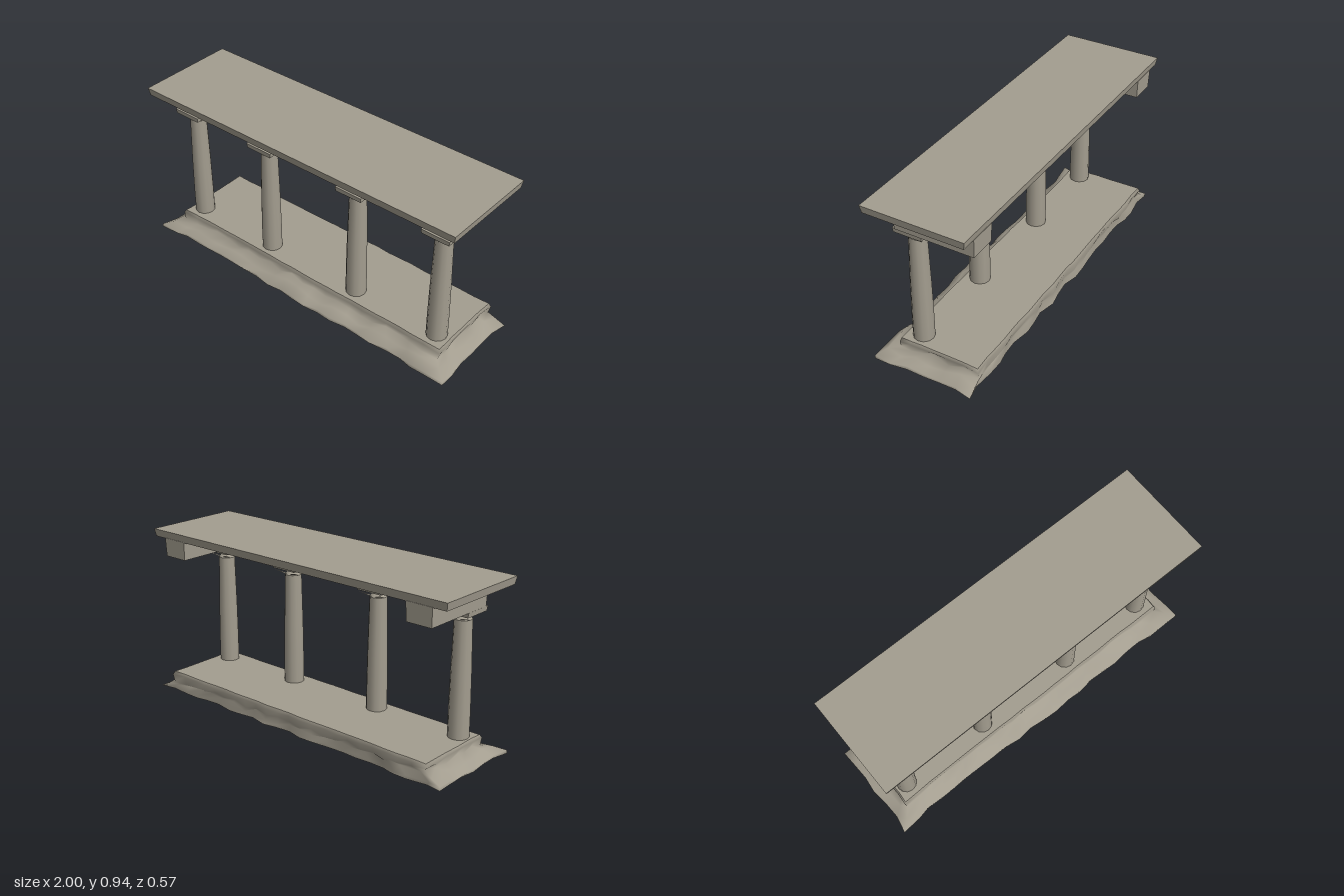
import * as THREE from 'three';

const stone = new THREE.MeshStandardMaterial({ color: 0xa39d8f });
const stoneThin = stone.clone();
stoneThin.side = THREE.DoubleSide;

function geometryFrom(positions, index) {
  const g = new THREE.BufferGeometry();
  g.setAttribute('position', new THREE.Float32BufferAttribute(positions, 3));
  if (index) g.setIndex(index);
  g.computeVertexNormals();
  return g;
}

function add(parent, name, geometry, material = stone) {
  const mesh = new THREE.Mesh(geometry, material);
  mesh.name = name;
  parent.add(mesh);
  return mesh;
}

// Box between two corners whose underside is drawn in by a small taper
function taperedBox(x0, x1, y0, y1, z0, z1, taper) {
  const g = new THREE.BoxGeometry(x1 - x0, y1 - y0, z1 - z0);
  const p = g.attributes.position;
  for (let i = 0; i < p.count; i++) {
    if (p.getY(i) > 0) continue;
    p.setX(i, p.getX(i) - Math.sign(p.getX(i)) * taper);
    p.setZ(i, p.getZ(i) - Math.sign(p.getZ(i)) * taper);
  }
  g.computeVertexNormals();
  return g.translate((x0 + x1) / 2, (y0 + y1) / 2, (z0 + z1) / 2);
}

// Seeded random numbers
function seeded(seed) {
  return () => (seed = (seed * 16807) % 2147483647) / 2147483647;
}

// Unit rectangle outline, counter-clockwise from above
function outline(nx, nz) {
  const pts = [];
  for (let i = 0; i < nx; i++) pts.push([-1 + 2 * i / nx, 1]);
  for (let i = 0; i < nz; i++) pts.push([1, 1 - 2 * i / nz]);
  for (let i = 0; i < nx; i++) pts.push([1 - 2 * i / nx, -1]);
  for (let i = 0; i < nz; i++) pts.push([-1, -1 + 2 * i / nz]);
  return pts;
}

function fan(ring, y, up) {
  const pos = [0, y, 0, ...ring.flat()];
  const index = [];
  for (let i = 0; i < ring.length; i++) {
    const a = i + 1, b = (i + 1) % ring.length + 1;
    index.push(0, up ? a : b, up ? b : a);
  }
  return geometryFrom(pos, index);
}

// Worn platform with a rocky skirt, lofted through rough rectangular rings
function makeBase() {
  const group = new THREE.Group();
  group.name = 'base';
  const rand = seeded(41);
  const pts = outline(22, 6);
  // half width, back z, front z, height, sideways and vertical roughness
  const levels = [
    [0.985, -0.28, 0.28, 0.0, 0.025, 0],
    [0.985, -0.28, 0.28, 0.012, 0.025, 0.01],
    [0.93, -0.272, 0.235, 0.042, 0.02, 0.022],
    [0.885, -0.268, 0.185, 0.06, 0.012, 0.02],
    [0.895, -0.272, 0.183, 0.092, 0.008, 0.006],
    [0.885, -0.264, 0.175, 0.11, 0.006, 0],
  ];
  const sway = pts.map(() => rand() - 0.5);
  const rings = levels.map(([hx, zb, zf, y, side, lift]) => pts.map(([u, v], i) => {
    const n = 1 + (sway[i] + (rand() - 0.5) * 0.4) * side * 2;
    const inset = (0.5 + sway[i]) * side;
    const x = Math.abs(u) === 1 ? u * (hx + 0.015 - inset) : u * hx * n;
    const z = v > 0 ? v * (zf + 0.005 - (v === 1 ? inset : 0)) : -v * (zb - 0.005 + (v === -1 ? inset : 0));
    return [x, y + (rand() - 0.5) * 2 * lift, z];
  }));
  const count = pts.length, index = [];
  for (let r = 0; r < rings.length - 1; r++) {
    for (let i = 0; i < count; i++) {
      const j = (i + 1) % count;
      const a = r * count + i, b = r * count + j, c = b + count, d = a + count;
      index.push(a, b, c, a, c, d);
    }
  }
  add(group, 'rockySkirt', geometryFrom(rings.flat(2), index));
  add(group, 'platformTop', fan(rings[rings.length - 1], 0.11, true));
  add(group, 'baseUnderside', fan(rings[0], 0, false));
  return group;
}

// Tapering column with a pinched neck, two leaf spikes and a square cap
function makeColumn(x) {
  const group = new THREE.Group();
  group.name = 'column';
  group.position.set(x, 0, 0.095);
  const shaft = [[0.056, 0.1], [0.056, 0.24], [0.053, 0.45], [0.046, 0.735]]
    .map(([r, y]) => new THREE.Vector2(r, y));
  add(group, 'shaft', new THREE.LatheGeometry(shaft, 12));
  add(group, 'neck', new THREE.CylinderGeometry(0.02, 0.046, 0.03, 12).translate(0, 0.75, 0));
  for (const s of [-1, 1]) {
    add(group, 'capitalLeaf', geometryFrom([
      s * 0.045, 0.735, -0.01, s * 0.01, 0.74, -0.045, s * 0.075, 0.765, -0.078,
    ]), stoneThin);
  }
  add(group, 'capitalSlab', taperedBox(-0.082, 0.082, 0.77, 0.796, -0.08, 0.084, 0.003));
  return group;
}

// Beam along the front with a return at each end
function makeBeams() {
  const group = new THREE.Group();
  group.name = 'beams';
  add(group, 'frontBeam', taperedBox(-0.915, 0.915, 0.797, 0.9, 0.025, 0.165, 0.004));
  for (const s of [-1, 1]) {
    const x = s * 0.838;
    add(group, 'sideBeam', taperedBox(x - 0.077, x + 0.077, 0.797, 0.9, -0.28, 0.06, 0.004));
  }
  return group;
}

// Broken wedges hanging under the eaves
function makeEaveFragments() {
  const group = new THREE.Group();
  group.name = 'eaveFragments';
  for (const x of [-0.8, -0.7, -0.5, -0.4, -0.31, 0, 0.28, 0.4, 0.48, 0.69, 0.8, 0.88]) {
    add(group, 'eaveFragment', geometryFrom([
      x - 0.025, 0.898, 0.275, x, 0.886, 0.262, x + 0.02, 0.898, 0.2,
      x - 0.025, 0.898, 0.275, x + 0.025, 0.898, 0.27, x, 0.886, 0.262,
    ]), stoneThin);
    add(group, 'beamChip', geometryFrom([
      x - 0.015, 0.897, 0.168, x + 0.005, 0.86, 0.168, x + 0.015, 0.897, 0.168,
    ]), stoneThin);
  }
  return group;
}

export function createModel() {
  const model = new THREE.Group();
  model.name = 'ruinedColonnade';
  model.add(makeBase());
  for (const x of [-0.828, -0.3, 0.298, 0.823]) model.add(makeColumn(x));
  model.add(makeBeams(), makeEaveFragments());
  add(model, 'roofSlab', taperedBox(-1, 1, 0.897, 0.94, -0.285, 0.285, 0.008));
  return model;
}
